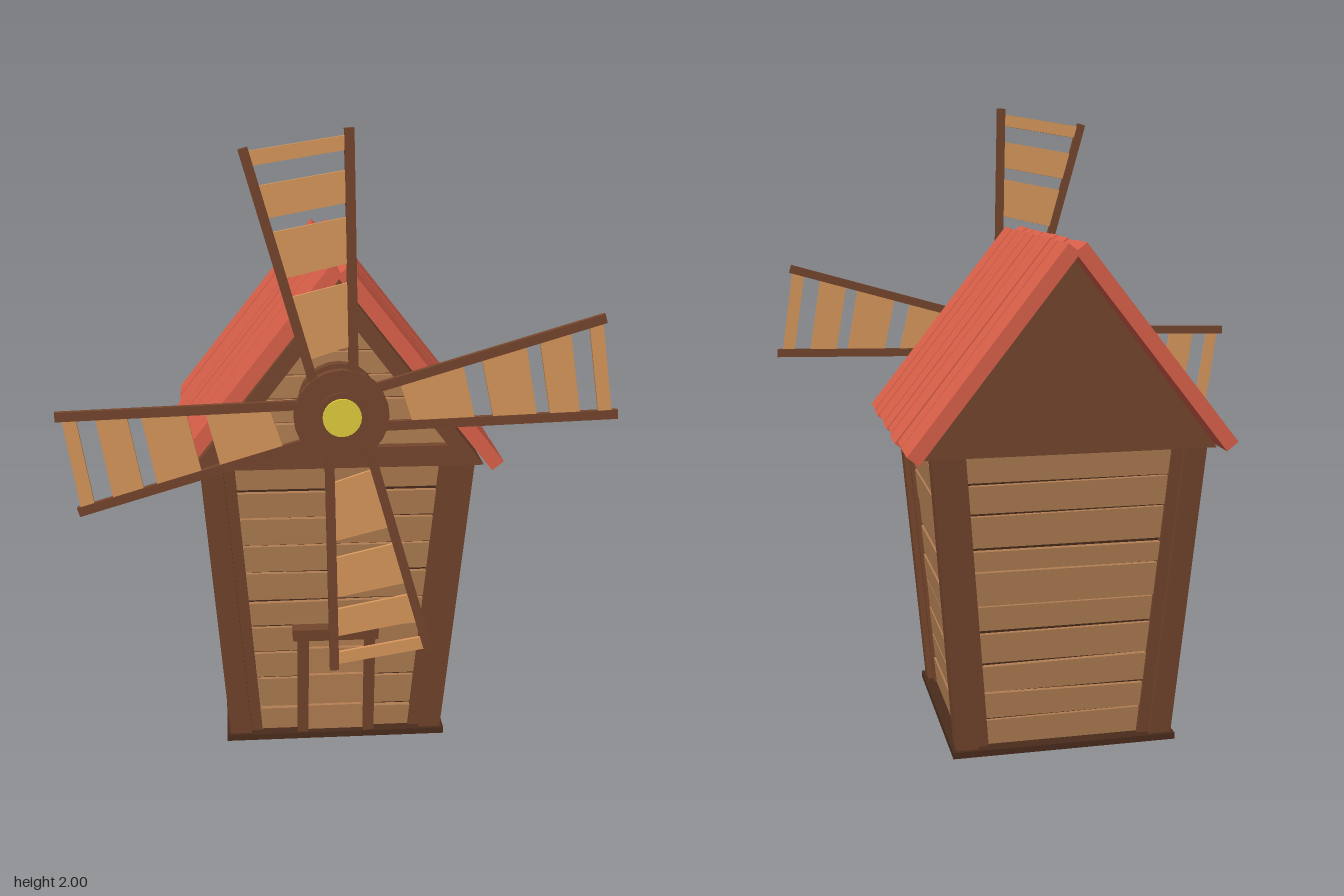
import * as THREE from 'three';

const mat = (color) => new THREE.MeshStandardMaterial({ color, flatShading: true });
const BEAM = mat(0x75462d), DARK = mat(0x4a2c1c), PLANK = mat(0xb27f53), DOOR = mat(0xb98155);
const ROOF = mat(0xdb604a), SLAT = mat(0xd9985c), YELLOW = mat(0xe0cf3c);

// Small seeded jitter in [-1, 1]
let seed = 7;
const jitter = (a) => {
  seed = (seed * 16807) % 2147483647;
  return a * ((seed / 2147483647) * 2 - 1);
};

function add(parent, name, geometry, material) {
  const mesh = new THREE.Mesh(geometry, material);
  mesh.name = name;
  parent.add(mesh);
  return mesh;
}

// Six-sided block from four bottom and four top corners (counter-clockwise from above)
function block(bottom, top) {
  const p = [...bottom, ...top];
  const quads = [[3, 2, 1, 0], [4, 5, 6, 7]];
  for (let i = 0; i < 4; i++) {
    const j = (i + 1) % 4;
    quads.push([i, j, j + 4, i + 4]);
  }
  const pos = [];
  for (const [a, b, c, d] of quads) for (const k of [a, b, c, a, c, d]) pos.push(...p[k]);
  const g = new THREE.BufferGeometry();
  g.setAttribute('position', new THREE.Float32BufferAttribute(pos, 3));
  g.computeVertexNormals();
  return g;
}

// Rectangle corners at height y
const rect = (x0, x1, z0, z1, y) => [[x0, y, z1], [x1, y, z1], [x1, y, z0], [x0, y, z0]];

// Half width of the tapering tower at height y
const half = (y) => 0.345 + 0.078 * (y / 0.97);
const TOP = 0.97, CZ = -0.056;

// Block whose rectangle at each height comes from f(halfWidth)
const tapered = (y0, y1, f) => block(rect(...f(half(y0)), y0), rect(...f(half(y1)), y1));

// One of the four sides: corner post, trims and boards
function makeWall() {
  const wall = new THREE.Group();
  wall.name = 'wall';
  add(wall, 'cornerPost', tapered(0.015, TOP, (h) => [h - 0.07, h, h - 0.07, h]), BEAM);
  add(wall, 'trimLeft', tapered(0.015, TOP, (h) => [h - 0.105, h - 0.06, h - 0.06, h - 0.018]), BEAM);
  add(wall, 'trimRight', tapered(0.015, TOP, (h) => [-h + 0.06, -h + 0.105, h - 0.06, h - 0.018]), BEAM);
  const n = 10;
  let y0 = 0.02;
  for (let i = 0; i < n; i++) {
    const y1 = i === n - 1 ? TOP : 0.02 + ((TOP - 0.02) * (i + 1)) / n + jitter(0.012);
    const a = jitter(0.004), b = jitter(0.004), out = 0.03 + jitter(0.005);
    const lo = half(y0), hi = half(y1), t = y1 - 0.009;
    add(wall, 'wallBoard', block(
      rect(-lo + 0.07, lo - 0.07, lo - 0.06, lo - out, y0),
      [[-hi + 0.07, t + a, hi - out], [hi - 0.07, t + b, hi - out],
        [hi - 0.07, t + b, hi - 0.06], [-hi + 0.07, t + a, hi - 0.06]]), PLANK);
    y0 = y1;
  }
  return wall;
}

function makeDoor() {
  const door = new THREE.Group();
  door.name = 'door';
  const face = (y, d) => half(y) + CZ + d;
  const piece = (name, x0, x1, y0, y1, d, m) => add(door, name, block(
    rect(x0, x1, face(y0, -0.06), face(y0, d), y0), rect(x0, x1, face(y1, -0.06), face(y1, d), y1)), m);
  piece('doorPostRight', -0.125, -0.09, 0.02, 0.38, 0.005, BEAM);
  piece('doorPostLeft', 0.09, 0.125, 0.02, 0.38, 0.005, BEAM);
  piece('doorLintel', -0.14, 0.135, 0.365, 0.405, 0.012, BEAM);
  for (const [y0, y1] of [[0.02, 0.11], [0.117, 0.225], [0.232, 0.325], [0.332, 0.366]])
    piece('doorBoard', -0.09, 0.09, y0, y1, -0.012, DOOR);
  return door;
}

function extrudeZ(shape, z0, z1) {
  return new THREE.ExtrudeGeometry(shape, { depth: z1 - z0, bevelEnabled: false }).translate(0, 0, z0);
}

const triangle = (C, w, y0, y1) => {
  const s = new C();
  s.moveTo(-w, y0);
  s.lineTo(w, y0);
  s.lineTo(0, y1);
  s.closePath();
  return s;
};

function makeRoof() {
  const roof = new THREE.Group();
  roof.name = 'roof';
  add(roof, 'attic', extrudeZ(triangle(THREE.Shape, 0.45, 0.965, 1.545), -0.49, 0.32), BEAM);

  // Front gable frame and boards
  const frame = triangle(THREE.Shape, 0.45, 0.965, 1.545);
  frame.holes.push(triangle(THREE.Path, 0.337, 1.03, 1.465));
  add(roof, 'gableFrame', extrudeZ(frame, 0.31, 0.375), BEAM);
  for (let i = 0; i < 6; i++) {
    const y0 = 1.03 + i * 0.075, y1 = y0 + 0.067;
    const w0 = (1.5 - y0) / 1.289, w1 = Math.max((1.5 - y1) / 1.289, 0.005);
    const z = 0.34 + jitter(0.005);
    add(roof, 'gableBoard', block(rect(-w0, w0, 0.31, z, y0), rect(-w1, w1, 0.31, z, y1)), PLANK);
  }

  // Roof boards running from ridge to eaves, mirrored over the ridge
  const bands = [[0.285, 0.4], [0.18, 0.278], [0.04, 0.172], [-0.07, 0.03],
    [-0.16, -0.08], [-0.305, -0.172], [-0.394, -0.312], [-0.535, -0.403]];
  for (const [z0, z1] of bands) for (const s of [1, -1]) {
    const len = 0.772 + jitter(0.008), lift = jitter(0.003), j0 = jitter(0.004), j1 = jitter(0.004);
    const d = 0.045;
    const board = new THREE.Group();
    const g = block(
      [[0, -d, z1], [len, -d, z1 + j1], [len, -d, z0 + j0], [0, -d, z0]],
      [[0, 0, z1], [len, 0, z1 + j1], [len, 0, z0 + j0], [0, 0, z0]]);
    const mesh = add(board, 'roofBoard', g, ROOF);
    mesh.rotation.z = -Math.atan2(0.61, 0.48);
    mesh.position.set(0.027, 1.592 + lift, 0);
    if (s < 0) {
      // Mirrored side: turn around the vertical axis and restore the depth position
      board.rotation.y = Math.PI;
      board.position.z = z0 + z1;
    }
    board.name = s > 0 ? 'roofBoardLeft' : 'roofBoardRight';
    roof.add(board);
  }
  return roof;
}

const disc = (r, z0, z1, sides = 24) =>
  new THREE.CylinderGeometry(r, r, z1 - z0, sides).rotateX(Math.PI / 2).translate(0, 0, (z0 + z1) / 2);

// Sail: two spreading rails with slats between them
function makeSail() {
  const sail = new THREE.Group();
  sail.name = 'sail';
  const railX = (a, b, y) => a[0] + ((b[0] - a[0]) * (y - a[1])) / (b[1] - a[1]);
  const A = [[0.036, 0.09], [0.018, 0.825]], B = [[-0.078, 0.09], [-0.275, 0.772]];
  for (const [p, q] of [A, B]) {
    const dx = q[0] - p[0], dy = q[1] - p[1];
    const rail = add(sail, 'sailRail', new THREE.BoxGeometry(0.028, Math.hypot(dx, dy), 0.016), BEAM);
    rail.position.set((p[0] + q[0]) / 2, (p[1] + q[1]) / 2, 0);
    rail.rotation.z = -Math.atan2(dx, dy);
  }
  for (const [r0, r1] of [[0.19, 0.375], [0.43, 0.56], [0.6, 0.69], [0.745, 0.785]]) {
    const row = (r) => {
      const yl = r - 0.022, yr = r + 0.022;
      const xl = railX(...B, yl), xr = railX(...A, yr);
      return [[xl, yl, 0.005], [xr, yr, 0.005], [xr, yr, -0.005], [xl, yl, -0.005]];
    };
    add(sail, 'sailSlat', block(row(r0), row(r1)), SLAT);
  }
  return sail;
}

function makeRotor() {
  const rotor = new THREE.Group();
  rotor.name = 'rotor';
  add(rotor, 'hub', disc(0.14, -0.01, 0.016), BEAM);
  add(rotor, 'hubCap', disc(0.075, 0.01, 0.022), BEAM);
  add(rotor, 'hubBoss', disc(0.057, 0.015, 0.031), YELLOW);
  for (let i = 0; i < 4; i++) {
    const sail = makeSail();
    sail.rotation.z = (i * Math.PI) / 2;
    rotor.add(sail);
  }
  rotor.position.set(-0.003, 1.175, 0.512);
  rotor.rotation.set(0.015, 0.018, 0);
  return rotor;
}

export function createModel() {
  const model = new THREE.Group();
  model.name = 'windmill';

  const tower = new THREE.Group();
  tower.name = 'tower';
  tower.position.z = CZ;
  add(tower, 'base', block(rect(-0.358, 0.358, -0.358, 0.358, 0), rect(-0.358, 0.358, -0.358, 0.358, 0.02)), DARK);
  add(tower, 'core', tapered(0.01, TOP, (h) => [-h + 0.045, h - 0.045, -h + 0.045, h - 0.045]), DARK);
  for (let i = 0; i < 4; i++) {
    const wall = makeWall();
    wall.rotation.y = (i * Math.PI) / 2;
    tower.add(wall);
  }
  model.add(tower, makeDoor(), makeRoof());

  // Bearing discs and axle between gable and rotor
  add(model, 'bearing', disc(0.12, 0.33, 0.375).translate(0, 1.175, 0), BEAM);
  add(model, 'bearingCap', disc(0.085, 0.37, 0.395).translate(0, 1.175, 0), BEAM);
  add(model, 'axle', disc(0.011, 0.33, 0.515, 10).translate(0, 1.175, 0), BEAM);
  model.add(makeRotor());
  return model;
}
